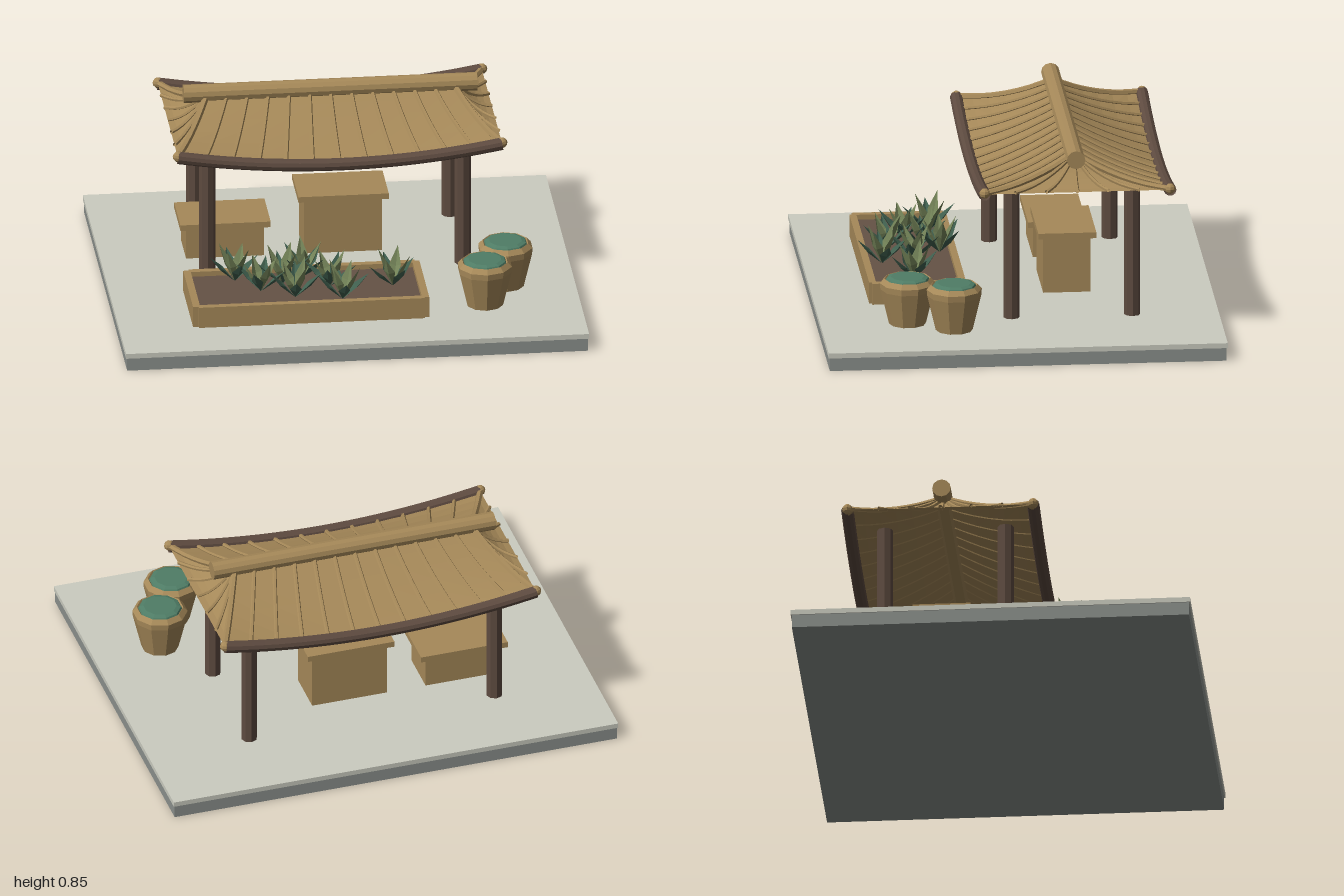
import * as THREE from 'three';
import { ParametricGeometry } from 'three/addons/geometries/ParametricGeometry.js';

const mat = (name, color) =>
  new THREE.MeshStandardMaterial({ name, color, flatShading: true, side: THREE.DoubleSide });

export function createModel() {
  const root = new THREE.Group();
  const tan = mat('tan wood', 0xa68959);
  const dark = mat('dark wood', 0x5e4b40);
  const stone = mat('light stone', 0xcbccc0);
  const grey = mat('grey stone', 0x8b908c);
  const soil = mat('soil', 0x655246);
  const teal = mat('teal green', 0x4f7d66);
  const leafDark = mat('dark leaf', 0x40604f);
  const leafLight = mat('olive leaf', 0x76865a);

  const add = (name, geo, material, x = 0, y = 0, z = 0, parent = root) => {
    const m = new THREE.Mesh(geo, material);
    m.name = name;
    m.position.set(x, y, z);
    parent.add(m);
    return m;
  };
  // Box given by its min and max corners
  const box = (name, material, x0, x1, y0, y1, z0, z1, parent = root) =>
    add(name, new THREE.BoxGeometry(x1 - x0, y1 - y0, z1 - z0), material,
      (x0 + x1) / 2, (y0 + y1) / 2, (z0 + z1) / 2, parent);
  const tube = (name, pts, r, material, parent, seg = 8, sides = 6) =>
    add(name, new THREE.TubeGeometry(new THREE.CatmullRomCurve3(pts), seg, r, sides), material, 0, 0, 0, parent);

  // Ground slab
  box('slabBase', grey, -0.995, 0.995, 0, 0.058, -0.855, 0.855);
  box('slabTop', stone, -1, 1, 0.058, 0.08, -0.86, 0.86);

  // Posts
  for (const x of [-0.56, 0.544])
    for (const z of [0.033, -0.487])
      add('post', new THREE.CylinderGeometry(0.035, 0.035, 0.565, 8), dark, x, 0.3625, z);

  // Roof: two sagging main slopes and a fan-shaped hip at each end
  const roof = new THREE.Group();
  roof.name = 'roof';
  root.add(roof);
  const CZ = -0.238;
  const eaveY = (t) => 0.62 + 0.063 * t * t;
  const blend = (a, b, s, sag) => {
    const p = a.clone().lerp(b, s);
    p.y -= 4 * sag * s * (1 - s);
    return p;
  };
  const slope = (side) => (t, s) => blend(
    new THREE.Vector3(0.53 * t, 0.8, CZ),
    new THREE.Vector3(0.7 * t, eaveY(t), CZ + side * 0.4), s, 0.015 + 0.012 * t * t);
  const hip = (side) => (t, s) => blend(
    new THREE.Vector3(side * 0.53, 0.8, CZ),
    new THREE.Vector3(side * 0.7, 0.683, CZ + 0.4 * t), s, 0.027);

  const sheet = (name, fn, ribs, ribName) => {
    add(name, new ParametricGeometry((u, v, out) => out.copy(fn(u * 2 - 1, v)), ribs, 6), tan, 0, 0, 0, roof);
    for (let i = 0; i <= ribs; i++) {
      const t = (i / ribs) * 2 - 1;
      const corner = i === 0 || i === ribs;
      const pts = [0, 0.25, 0.5, 0.75, 1].map((s) => {
        const p = fn(t, s);
        p.y += 0.004;
        return p;
      });
      tube(ribName, pts, corner ? 0.014 : 0.009, tan, roof);
    }
  };
  for (const side of [1, -1]) {
    sheet('roofSlope', slope(side), 12, 'slopeRib');
    sheet('roofHip', hip(side), 6, 'hipRib');
    // Curved eave beam with end knobs
    const pts = [];
    for (let i = -6; i <= 6; i++)
      pts.push(new THREE.Vector3(0.7 * i / 6, eaveY(i / 6), CZ + side * 0.4));
    tube('eaveBeam', pts, 0.027, dark, roof, 24, 10);
    for (const e of [1, -1])
      add('cornerKnob', new THREE.SphereGeometry(0.023, 8, 6), tan, e * 0.7, 0.688, CZ + side * 0.4, roof);
  }
  add('ridge', new THREE.CylinderGeometry(0.04, 0.04, 1.268, 12), tan, 0, 0.806, CZ, roof).rotation.z = Math.PI / 2;

  // Lidded crates
  for (const [x0, x1, top] of [[-0.15, 0.24, 0.354], [-0.66, -0.27, 0.246]]) {
    box('crateBody', tan, x0 + 0.027, x1 - 0.027, 0.08, top - 0.026, -0.337, -0.133);
    box('crateLid', tan, x0, x1, top - 0.026, top, -0.36, -0.11);
  }

  // Planter bed
  for (const z of [0.21, 0.596]) box('planterLongBoard', tan, -0.66, 0.316, 0.085, 0.179, z, z + 0.03);
  for (const x of [-0.684, 0.305]) box('planterEndBoard', tan, x, x + 0.031, 0.085, 0.179, 0.222, 0.614);
  box('planterSoil', soil, -0.655, 0.308, 0.08, 0.157, 0.235, 0.6);

  // Folded kite-shaped leaves in clumps
  const leaf = new THREE.BufferGeometry();
  leaf.setAttribute('position', new THREE.Float32BufferAttribute([
    0, 0, 0, 0.05, 0.075, 0.026, 0.05, 0.075, -0.026, 0.064, 0.066, 0, 0.108, 0.14, 0], 3));
  leaf.setIndex([0, 1, 3, 0, 3, 2, 3, 1, 4, 3, 4, 2]);
  leaf.computeVertexNormals();
  let seed = 7;
  const rand = () => (seed = (seed * 16807) % 2147483647) / 2147483647;
  const clumps = [[-0.47, 0.3], [-0.37, 0.42], [-0.17, 0.28], [-0.27, 0.35],
    [-0.23, 0.5], [-0.07, 0.4], [-0.03, 0.54], [0.2, 0.42]];
  for (const [x, z] of clumps) {
    const plant = new THREE.Group();
    plant.name = 'plant';
    plant.position.set(x, 0.155, z);
    root.add(plant);
    const turn = rand() * 6;
    for (let i = 0; i < 8; i++) {
      const m = add('leaf', leaf, i % 2 ? leafLight : leafDark, 0, 0, 0, plant);
      m.rotation.y = turn + i * Math.PI / 4 + rand() * 0.3;
      const w = i % 2 ? 0.62 : 0.95;
      m.scale.set(w + rand() * 0.15, (i % 2 ? 1.02 : 0.72) + rand() * 0.18, 1);
    }
  }

  // Round tubs with green filling
  const tub = [[0, 0.08], [0.08, 0.08], [0.117, 0.235], [0.119, 0.262], [0.1, 0.282], [0.09, 0.27]]
    .map(([r, y]) => new THREE.Vector2(r, y));
  const fill = [[0.097, 0.272], [0.09, 0.284], [0.072, 0.29], [0, 0.29]]
    .map(([r, y]) => new THREE.Vector2(r, y));
  for (const [x, z] of [[0.59, 0.485], [0.7, 0.293]]) {
    add('tub', new THREE.LatheGeometry(tub, 10), tan, x, 0, z);
    add('tubFilling', new THREE.LatheGeometry(fill, 10), teal, x, 0, z);
  }
  return root;
}
